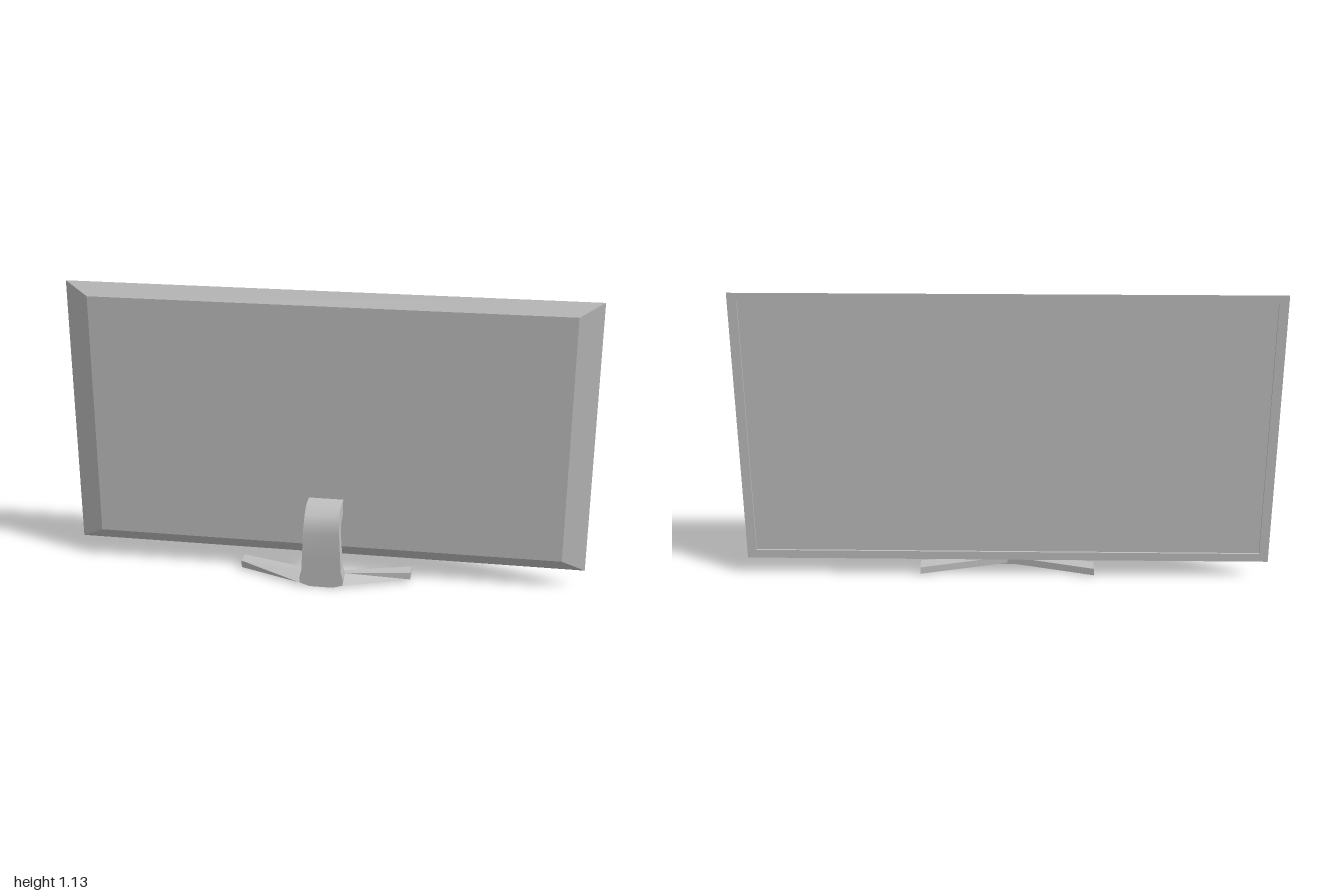
import * as THREE from 'three';
import { toCreasedNormals } from 'three/addons/utils/BufferGeometryUtils.js';

// Skin a series of equal-length rings (counterclockwise seen from the far end).
function loft(rings, capStart = true, capEnd = true, crease = 0.5) {
  const n = rings[0].length;
  const index = [];
  for (let r = 0; r < rings.length - 1; r++) {
    for (let i = 0; i < n; i++) {
      const j = (i + 1) % n;
      const a = r * n + i, b = r * n + j, c = a + n, d = b + n;
      index.push(a, b, d, a, d, c);
    }
  }
  const last = (rings.length - 1) * n;
  for (let i = 1; i < n - 1; i++) {
    if (capStart) index.push(0, i + 1, i);
    if (capEnd) index.push(last, last + i, last + i + 1);
  }
  const geometry = new THREE.BufferGeometry();
  geometry.setAttribute('position', new THREE.Float32BufferAttribute(rings.flat(2), 3));
  geometry.setIndex(index);
  return toCreasedNormals(geometry, crease);
}

// Rectangle ring facing +z
const rectangle = (w, bottom, top, z) => [[-w, bottom, z], [w, bottom, z], [w, top, z], [-w, top, z]];

export function createModel() {
  const model = new THREE.Group();
  model.name = 'monitor';
  const grey = new THREE.MeshStandardMaterial({ color: 0xc0c0c0 });
  grey.name = 'grey plastic';

  const add = (name, geometry) => {
    const mesh = new THREE.Mesh(geometry, grey);
    mesh.name = name;
    model.add(mesh);
    return mesh;
  };

  // Bevelled housing, with a rim around the recessed screen on the -z side
  add('housing', loft([
    rectangle(0.965, 0.105, 1.1, -0.07),
    rectangle(0.965, 0.105, 1.1, -0.078),
    rectangle(1, 0.072, 1.132, -0.078),
    rectangle(0.91, 0.12, 1.083, -0.043),
  ], false, true, 0.2));

  // Recessed screen
  const screen = add('screen', new THREE.PlaneGeometry(1.93, 0.995));
  screen.rotation.y = Math.PI;
  screen.position.set(0, 0.6025, -0.07);

  // Curved neck: half width, then y and z of the outer and inner side
  const neckSections = [
    [0.045, 0, 0.08, 0, 0.02],
    [0.083, 0.012, 0.08, 0.012, 0.018],
    [0.085, 0.035, 0.08, 0.035, 0.018],
    [0.077, 0.065, 0.08, 0.065, 0.02],
    [0.074, 0.12, 0.08, 0.11, 0.02],
    [0.07, 0.22, 0.08, 0.16, 0.02],
    [0.068, 0.258, 0.073, 0.2, 0.017],
    [0.067, 0.288, 0.057, 0.242, 0.013],
    [0.067, 0.314, 0.022, 0.247, -0.004],
    [0.067, 0.319, -0.044, 0.258, -0.044],
  ];
  add('neck', loft(neckSections.map(([w, yo, zo, yi, zi]) => [
    [w, yo, zo], [w, yi, zi], [-w, yi, zi], [-w, yo, zo],
  ])));

  // Swept-back foot: x, then z of front bottom, back, front top
  const footSections = [
    [-0.335, -0.022, -0.08, -0.022],
    [-0.09, 0.07, -0.01, 0.02],
    [0, 0.078, 0.015, 0.045],
    [0.09, 0.07, -0.01, 0.02],
    [0.335, -0.022, -0.08, -0.022],
  ];
  add('foot', loft(footSections.map(([x, front, back, ridge]) => [
    [x, 0.008, front], [x, 0.008, back], [x, 0.036, back], [x, 0.036, ridge],
  ]), true, true, 0.2));

  return model;
}
